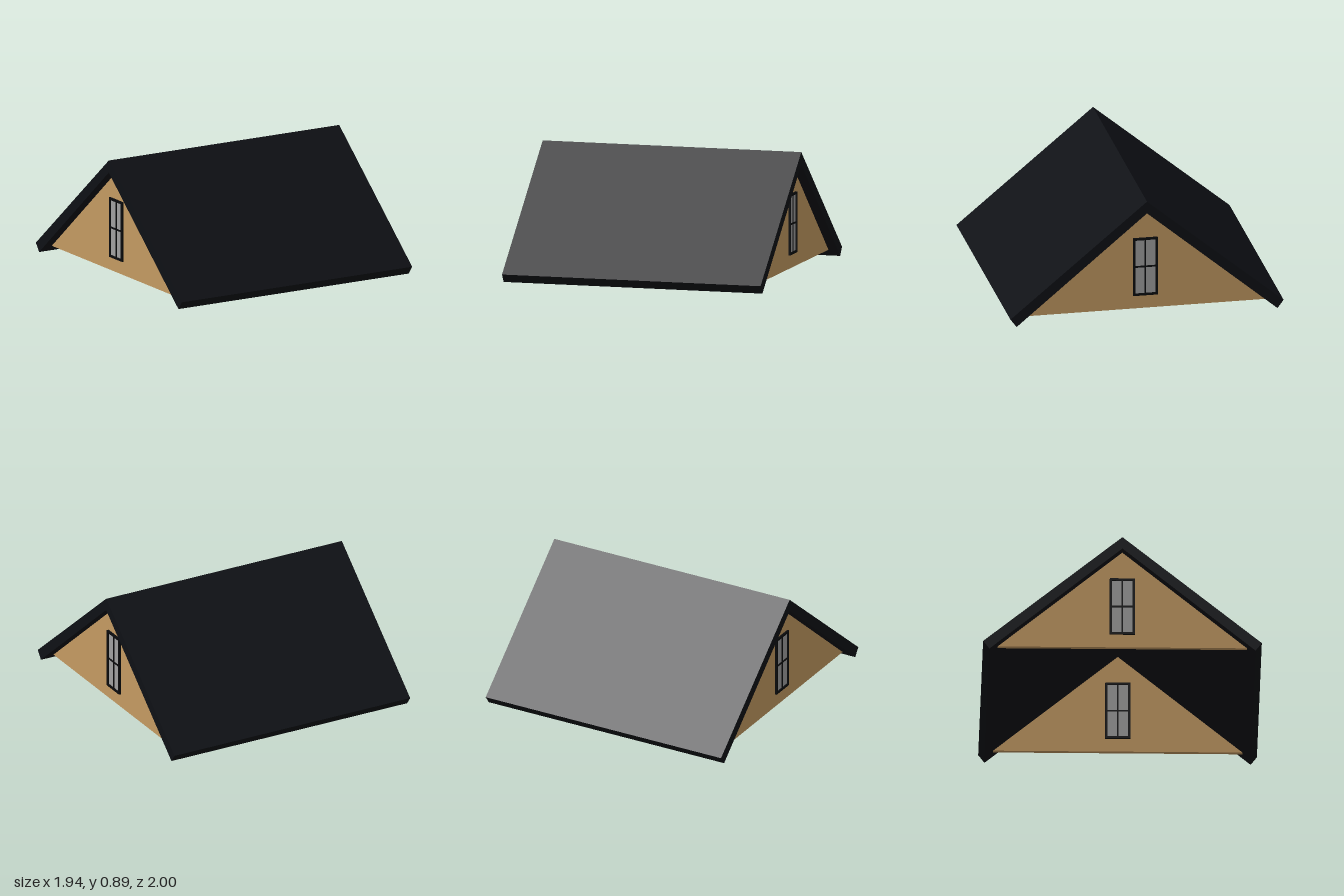
import * as THREE from 'three';

const mat = (color) => new THREE.MeshStandardMaterial({ color, flatShading: true });

// Extrude a [z, y] outline along x, centred on x = 0
function prism(points, length, material, name) {
  const shape = new THREE.Shape(points.map(([z, y]) => new THREE.Vector2(z, y)));
  const geo = new THREE.ExtrudeGeometry(shape, { depth: length, bevelEnabled: false });
  geo.translate(0, 0, -length / 2);
  geo.rotateY(Math.PI / 2);
  const mesh = new THREE.Mesh(geo, material);
  mesh.name = name;
  return mesh;
}

function box(sx, sy, sz, x, y, z, material, name) {
  const mesh = new THREE.Mesh(new THREE.BoxGeometry(sx, sy, sz), material);
  mesh.position.set(x, y, z);
  mesh.name = name;
  return mesh;
}

export function createModel() {
  const model = new THREE.Group();
  model.name = 'gableRoof';
  const roofMat = mat(0x0e1015);
  const wallMat = mat(0xc49a62);
  const frameMat = mat(0x0a0b0d);
  const glassMat = mat(0xa0a0a0);

  // Two thick slopes meeting at the ridge
  model.add(prism(
    [[0, 0.89], [-1, 0.06], [-0.955, 0], [0, 0.8], [0.955, 0], [1, 0.06]],
    1.94, roofMat, 'roof'));

  // Gable wall and four-pane window at each end
  for (const side of [1, -1]) {
    const end = new THREE.Group();
    end.name = side > 0 ? 'leftGable' : 'rightGable';

    const wall = prism([[-0.895, 0.05], [0.895, 0.05], [0, 0.8]], 0.03, wallMat, 'gableWall');
    wall.position.x = side * 0.885;
    end.add(wall);

    const win = new THREE.Group();
    win.name = 'window';
    win.position.set(side * 0.885, 0.37, 0);
    win.add(box(0.04, 0.42, 0.16, 0, 0, 0, glassMat, 'glass'));
    for (const s of [1, -1]) {
      win.add(box(0.06, 0.44, 0.016, 0, 0, s * 0.082, frameMat, 'frameSide'));
      win.add(box(0.06, 0.016, 0.18, 0, s * 0.212, 0, frameMat, 'frameRail'));
    }
    win.add(box(0.052, 0.42, 0.012, 0, 0, 0, frameMat, 'mullion'));
    win.add(box(0.05, 0.012, 0.16, 0, 0, 0, frameMat, 'crossbar'));
    end.add(win);
    model.add(end);
  }
  return model;
}
